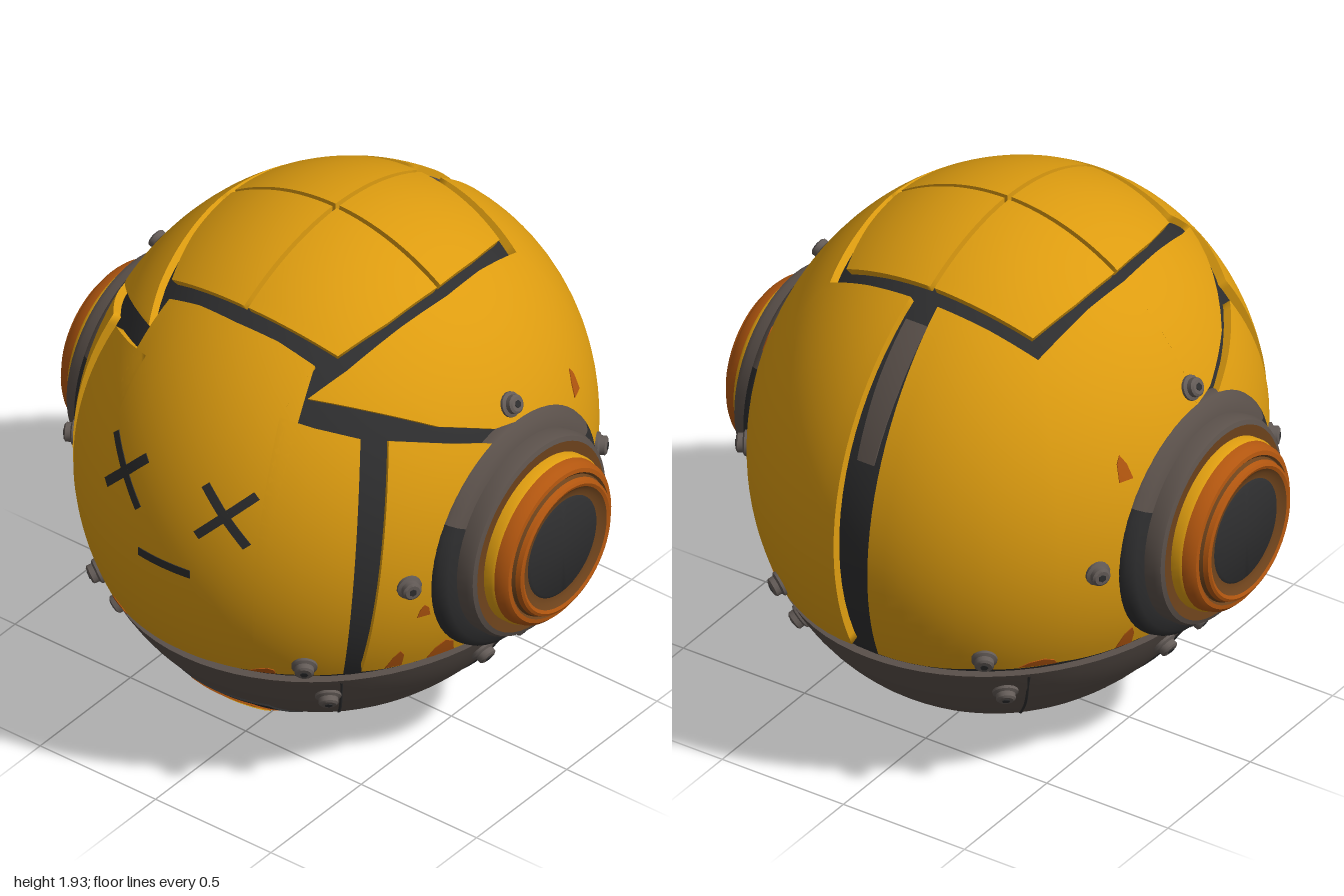
import * as THREE from 'three';
import { toCreasedNormals } from 'three/addons/utils/BufferGeometryUtils.js';

const mat = (name, color, side = THREE.FrontSide) => {
  const m = new THREE.MeshStandardMaterial({ color, side });
  m.name = name;
  return m;
};
const yellow = mat('yellow paint', 0xdd9c10);
const dark = mat('dark rubber', 0x2e2e2f);
const grey = mat('grey metal', 0x5a504a, THREE.DoubleSide);
const steel = mat('bolt steel', 0x635b57);
const orange = mat('burnt orange', 0xb2560f);
const brown = mat('rust brown', 0x6e431c);

// Body ellipsoid: half sizes and centre height
const RX = 0.86, RY = 0.965, RZ = 0.96, CY = 0.965;
const V = (x, y, z) => new THREE.Vector3(x, y, z);
const root = (v) => Math.sqrt(Math.max(0, 1 - v));
// Points on the body, given two coordinates
const F = (x, y) => V(x, y, RZ * root((x / RX) ** 2 + ((y - CY) / RY) ** 2));
const S = (z, y) => V(RX * root((z / RZ) ** 2 + ((y - CY) / RY) ** 2), y, z);
const T = (x, z) => V(x, CY + RY * root((x / RX) ** 2 + (z / RZ) ** 2), z);
const ring = (y, deg) => {
  const k = root(((y - CY) / RY) ** 2), a = deg * Math.PI / 180;
  return V(RX * k * Math.sin(a), y, RZ * k * Math.cos(a));
};
const onBody = (p, s) => {
  const d = V(p.x, p.y - CY, p.z);
  d.multiplyScalar(s / Math.hypot(d.x / RX, d.y / RY, d.z / RZ));
  return V(d.x, d.y + CY, d.z);
};
const normalAt = (p) => V(p.x / RX ** 2, (p.y - CY) / RY ** 2, p.z / RZ ** 2).normalize();
const flipX = (pts) => pts.map((p) => V(-p.x, p.y, p.z));

const densify = (pts, n) => {
  const out = [pts[0]];
  for (let i = 1; i < pts.length; i++)
    for (let k = 1; k <= n; k++) out.push(pts[i - 1].clone().lerp(pts[i], k / n));
  return out;
};

// Curved plate lofted between two polylines, with a skirt down to the core
function plateGeometry(a, b, { top = 1, base = 0.955, seg = 6, rows = 20 } = {}) {
  const A = densify(a, seg), B = densify(b, seg), W = A.length, pos = [], idx = [];
  const at = (i, j) => A[i].clone().lerp(B[i], j / rows);
  const add = (p) => pos.push(p.x, p.y, p.z);
  for (let j = 0; j <= rows; j++) for (let i = 0; i < W; i++) add(onBody(at(i, j), top));
  const ci = W >> 1, cj = rows >> 1, c = at(ci, cj);
  const du = at(ci + 1 < W ? ci + 1 : ci, cj).sub(at(ci - 1, cj)), dv = at(ci, cj + 1 > rows ? cj : cj + 1).sub(at(ci, cj - 1 < 0 ? 0 : cj - 1));
  const flip = du.cross(dv).dot(normalAt(c)) < 0;
  const tri = (p, q, r) => (flip ? idx.push(p, r, q) : idx.push(p, q, r));
  for (let j = 0; j < rows; j++)
    for (let i = 0; i < W - 1; i++) {
      const o = j * W + i;
      tri(o, o + 1, o + W);
      tri(o + 1, o + W + 1, o + W);
    }
  const loop = [];
  for (let i = 0; i < W; i++) loop.push(at(i, 0));
  for (let j = 1; j <= rows; j++) loop.push(at(W - 1, j));
  for (let i = W - 2; i >= 0; i--) loop.push(at(i, rows));
  for (let j = rows - 1; j >= 0; j--) loop.push(at(0, j));
  const s = pos.length / 3;
  loop.forEach((p) => { add(onBody(p, top)); add(onBody(p, base)); });
  for (let k = 0; k < loop.length - 1; k++) {
    const o = s + 2 * k;
    tri(o, o + 1, o + 2);
    tri(o + 2, o + 1, o + 3);
  }
  const g = new THREE.BufferGeometry();
  g.setAttribute('position', new THREE.Float32BufferAttribute(pos, 3));
  g.setIndex(idx);
  g.computeVertexNormals();
  return g;
}

export function createModel() {
  const model = new THREE.Group();
  model.name = 'roundRobotHead';
  const mesh = (name, geo, material, parent = model) => {
    const m = new THREE.Mesh(geo, material);
    m.name = name;
    parent.add(m);
    return m;
  };
  const plate = (name, a, b, material = yellow, opt) => mesh(name, plateGeometry(a, b, opt), material);
  const pair = (name, a, b, material, opt) => {
    plate(name + 'Left', a, b, material, opt);
    plate(name + 'Right', flipX(a), flipX(b), material, opt);
  };

  // Dark core seen in the grooves
  const core = mesh('core', new THREE.SphereGeometry(1, 64, 40), dark);
  core.scale.set(RX, RY, RZ).multiplyScalar(0.968);
  core.position.y = CY;

  // Lower bowl with a flat lip
  const prof = [], lip = Math.acos((CY - 0.51) / RY);
  for (let i = 0; i <= 20; i++) prof.push(new THREE.Vector2(Math.sin(lip * i / 20), -Math.cos(lip * i / 20)));
  prof.push(new THREE.Vector2(prof[20].x - 0.05, prof[20].y));
  const bowl = mesh('lowerBowl', toCreasedNormals(new THREE.LatheGeometry(prof, 72), 0.7), grey);
  bowl.scale.set(RX, RY, RZ);
  bowl.position.y = CY;

  // Face plate, in one piece
  const faceTop = [F(0, 1.755), F(0.17, 1.742), F(0.315, 1.695), F(0.29, 1.56), F(0.4, 1.535), F(0.53, 1.495)];
  const faceLow = [0, 0.15, 0.27, 0.285, 0.4, 0.53].map((x) => F(x, 0.557));
  const whole = (half) => [...flipX(half).reverse(), ...half.slice(1)];
  plate('facePlate', whole(faceLow), whole(faceTop), yellow, { rows: 28, seg: 4 });

  // Cheeks in front of the ears
  pair('cheekPlate', [S(0.59, 0.557), S(0.35, 0.557), S(0.08, 0.557)], [S(0.47, 1.475), S(0.28, 1.41), S(0.08, 1.33)], yellow);
  // Pointed temples and the rear shell
  const tip = T(0.345, 0.597);
  pair('templePlate', [tip, S(0.3, 1.475), S(0.1, 1.39), S(0, 1.37)], [tip, T(0.405, 0.46), T(0.455, 0.23), T(0.48, 0)], yellow);
  pair('rearPlate', [90, 110, 130, 150, 176].map((d) => ring(0.557, d)),
    [T(0.48, 0), T(0.465, -0.2), T(0.43, -0.45), T(0.25, -0.49), T(0.055, -0.51)], yellow, { rows: 26 });
  // Crown in four quarters
  pair('crownFront', [T(0.009, 0.009), T(0.009, 0.25), T(0.009, 0.497)], [T(0.445, 0.009), T(0.42, 0.25), T(0.36, 0.45)], yellow);
  pair('crownBack', [T(0.009, -0.009), T(0.009, -0.24), T(0.009, -0.46)], [T(0.445, -0.009), T(0.43, -0.22), T(0.385, -0.415)], yellow);
  // Worn metal in the rear groove
  plate('rearGrooveMetal', [T(-0.045, -0.57), T(-0.045, -0.75), T(-0.035, -0.89)], [T(0.045, -0.57), T(0.045, -0.75), T(0.035, -0.89)], grey, { top: 0.974, rows: 4 });

  // Eyes and mouth as thin strips
  const stroke = (name, x, y, ang, len, w) => {
    const u = [Math.cos(ang) * len, Math.sin(ang) * len], n = [-Math.sin(ang) * w, Math.cos(ang) * w];
    const side = (s) => [-1, 0, 1].map((t) => F(x + u[0] * t + n[0] * s, y + u[1] * t + n[1] * s));
    plate(name, side(-1), side(1), dark, { top: 1.003, base: 0.997, rows: 2, seg: 4 });
  };
  for (const x of [-0.215, 0.215])
    for (const a of [0.8, -0.8]) stroke('eyeStroke', x, 1.225, a, 0.128, 0.016);
  stroke('mouth', 0, 0.97, 0, 0.112, 0.016);

  // Chin vent
  const vent = (name, w, y0, y1, top, m) => {
    const edge = (y, k) => [-w, -w * 0.5, 0, w * 0.5, w].map((x) => F(x * k, y));
    plate(name, edge(y0, 0.9), edge(y1, 1), m, { top, base: 0.97, rows: 8 });
  };
  vent('ventFrame', 0.2, 0.065, 0.27, 1.006, dark);
  vent('ventGlow', 0.135, 0.125, 0.245, 1.012, orange);
  vent('ventSlot', 0.13, 0.155, 0.205, 1.016, yellow);

  // Panel seams on the bowl
  const seam = (pts, closed = false) => {
    const c = new THREE.CatmullRomCurve3(pts.map((p) => onBody(p, 0.999)), closed);
    mesh('bowlSeam', new THREE.TubeGeometry(c, 40, 0.006, 5, closed), dark);
  };
  const cross = [];
  for (let i = 0; i <= 20; i++) {
    const a = lip * (i / 10 - 1);
    cross.push(V(RX * Math.sin(a), CY - RY * Math.cos(a), 0));
  }
  seam(cross);
  const curve = [S(0.62, 0.5), S(0.52, 0.31), S(0.38, 0.15), S(0.22, 0.06)];
  for (const z of [1, -1]) {
    const half = curve.map((p) => V(p.x, p.y, p.z * z));
    seam(half);
    seam(flipX(half));
  }
  seam(Array.from({ length: 16 }, (_, i) => ring(0.055, i * 22.5)), true);

  // Bolts set square to the surface
  const boltProfile = [[0.045, -0.02], [0.045, 0.008], [0.034, 0.014], [0.034, 0.032], [0.026, 0.038], [0, 0.038]];
  const boltGeo = toCreasedNormals(new THREE.LatheGeometry(boltProfile.map((p) => new THREE.Vector2(...p)), 16), 0.6);
  const socketGeo = new THREE.CylinderGeometry(0.014, 0.014, 0.006, 6);
  const bolt = (p) => {
    const g = new THREE.Group();
    g.name = 'bolt';
    mesh('boltHead', boltGeo, steel, g);
    mesh('boltSocket', socketGeo, dark, g).position.y = 0.038;
    g.position.copy(p);
    g.quaternion.setFromUnitVectors(V(0, 1, 0), normalAt(p));
    model.add(g);
  };
  const back = (p) => V(p.x, p.y, -p.z);
  const spots = [S(0, 1.43), S(0.52, 0.945), S(-0.52, 0.945), F(0.445, 0.615), back(F(0.42, 0.615)),
    F(0.445, 0.415), back(F(0.42, 0.415)), S(0.1, 0.43), S(-0.1, 0.43)];
  [...spots, ...flipX(spots)].forEach(bolt);

  // Chipped paint
  const chip = (z, y, w, h) => pair('rustChip', [S(z - w, y - h), S(z, y - h), S(z + w, y - h)],
    [S(z - w * 0.6, y + h * 0.4), S(z + w * 0.1, y + h), S(z + w * 0.7, y + h * 0.2)], orange, { top: 1.003, base: 0.998, rows: 3, seg: 2 });
  [[0.5, 0.6, 0.025, 0.04], [0.34, 0.595, 0.05, 0.036], [-0.35, 0.6, 0.03, 0.042], [-0.38, 1.3, 0.026, 0.045],
    [0.46, 0.82, 0.022, 0.025], [-0.62, 0.575, 0.05, 0.016], [0.8, 0.573, 0.02, 0.014]].forEach((c) => chip(...c));

  // Ears: stacked turned rings along x
  const deg = Math.PI / 180;
  const turned = (pts, start = 0, len = 360) => toCreasedNormals(
    new THREE.LatheGeometry(pts.map((p) => new THREE.Vector2(...p)), Math.ceil(len / 6), start * deg, len * deg), 0.6);
  const rim = [[0.435, 0.68], [0.445, 0.76], [0.44, 0.785], [0.415, 0.81], [0.365, 0.82]];
  const layers = [
    ['earRimDark', rim, dark, 330, 240],
    ['earRimWorn', rim, grey, 210, 120],
    ['earDisc', [[0.375, 0.8], [0.378, 0.86], [0.368, 0.88], [0.352, 0.887]], grey],
    ['earDiscFace', [[0.352, 0.887], [0.3, 0.884]], brown],
    ['earBand', [[0.312, 0.87], [0.312, 0.915], [0.306, 0.925]], yellow],
    ['earCap', [[0.306, 0.925], [0.3, 0.955], [0.285, 0.97], [0.27, 0.972]], orange],
    ['earGroove', [[0.27, 0.972], [0.262, 0.965], [0.256, 0.978]], brown],
    ['earLip', [[0.256, 0.978], [0.25, 0.995], [0.24, 1], [0.228, 0.995]], orange],
    ['earInner', [[0.228, 0.995], [0.21, 0.982], [0.19, 0.98]], brown],
    ['earCentre', [[0.19, 0.98], [0.18, 0.986], [0, 0.986]], dark],
  ];
  for (const s of [1, -1]) {
    const ear = new THREE.Group();
    ear.name = s > 0 ? 'earLeft' : 'earRight';
    for (const [name, pts, m, start, len] of layers)
      mesh(name, turned(pts, start, len), m, ear).rotation.z = -Math.PI / 2;
    ear.rotation.y = s > 0 ? 0 : Math.PI;
    ear.position.y = 0.93;
    model.add(ear);
  }
  return model;
}
